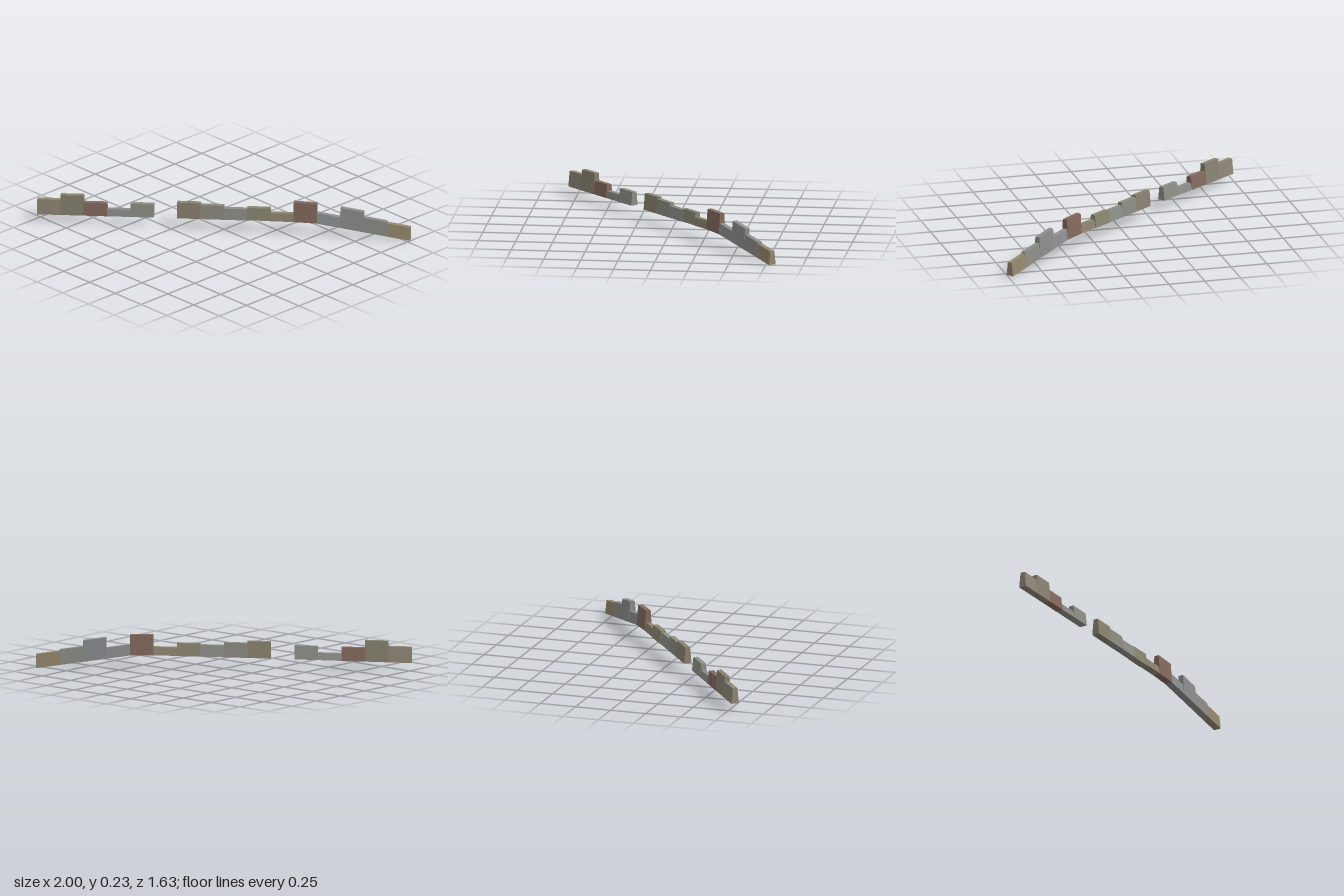
import * as THREE from 'three';

const SLOTS = 16, LENGTH = 2.527, DEPTH = 0.053, INSET = 0.01;
const STEP = LENGTH / SLOTS;

// ground level along the street: gentle rise, then a downhill stretch
const GROUND = [[0, 0.05], [6, 0.075], [11, 0.093], [12, 0.09], [16, 0]];
function groundAt(slot) {
  for (let i = 1; i < GROUND.length; i++) {
    const [a, ya] = GROUND[i - 1], [b, yb] = GROUND[i];
    if (slot <= b) return ya + (yb - ya) * (slot - a) / (b - a);
  }
  return 0;
}

// [slot, height, colour, depth shift]; slot 5 is the gap for the side street
const HOUSES = [
  [0, 0.106, 0x8f8676, 0], [1, 0.142, 0x88826f, 0], [2, 0.091, 0x84695f, 0],
  [3, 0.047, 0x8b8c88, 0], [4, 0.092, 0x8d8f86, 0],
  [6, 0.111, 0x8a826f, 0], [7, 0.098, 0x8b8b80, 0], [8, 0.078, 0x8e8f8a, 0],
  [9, 0.087, 0x8a8672, -0.004], [10, 0.055, 0x8c836f, 0], [11, 0.139, 0x836a5e, 0],
  [12, 0.072, 0x8b8e8f, 0], [13, 0.143, 0x8b8e8e, 0], [14, 0.102, 0x8b8c86, 0],
  [15, 0.092, 0x94866c, 0],
];

// a block that follows the slope, with front and back walls leaning in
function houseGeometry(slot, height, shift) {
  const g = new THREE.BoxGeometry(1, 1, 1);
  const p = g.attributes.position;
  for (let i = 0; i < p.count; i++) {
    const s = slot + p.getX(i) + 0.5;
    const up = p.getY(i) + 0.5;
    p.setXYZ(i,
      (s - SLOTS / 2) * STEP,
      groundAt(s) + up * height,
      p.getZ(i) * (DEPTH - 2 * INSET * up) + shift);
  }
  g.computeVertexNormals();
  return g;
}

export function createModel() {
  const group = new THREE.Group();
  group.name = 'terracedRow';
  for (const [slot, height, color, shift] of HOUSES) {
    const house = new THREE.Mesh(
      houseGeometry(slot, height, shift),
      new THREE.MeshStandardMaterial({ color }));
    house.name = 'house' + (slot + 1);
    group.add(house);
  }
  // the street runs diagonally
  group.rotation.y = 0.679;
  return group;
}
